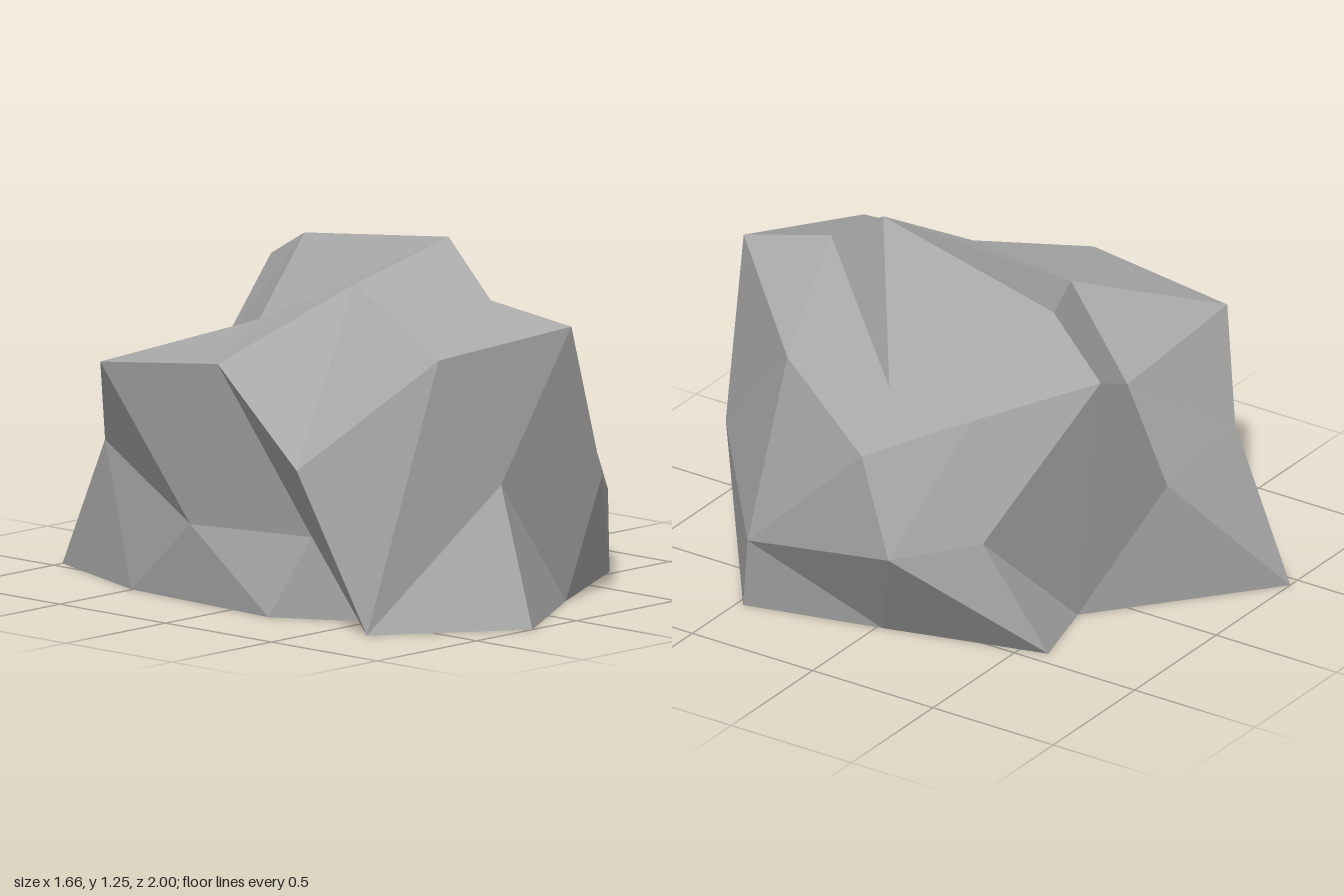
import * as THREE from 'three';

// Named corners of the rock, grouped by level
const P = {
  // ground contact
  M: [0.725, 0, 0.475], K: [0.235, 0, 0.73], I: [-0.22, 0, 1], H: [-0.69, 0, 0.66],
  H2: [-0.48, 0, 0.53], H3: [-0.68, 0, 0.185], G2: [-0.635, 0, -0.505], V: [-0.455, 0, -1],
  V2: [0.14, 0, -0.52], V3: [0.44, 0, -0.6], X: [0.6, 0, -0.02],
  // waist
  N: [0.765, 0.28, 0.43], L: [0.315, 0.44, 0.825], J: [-0.175, 0.475, 0.81], E: [-0.43, 0.94, 0.755],
  G: [-0.83, 0.57, 0.46], G3: [-0.61, 0.29, 0.325], G4: [-0.69, 0.28, -0.175], U2: [-0.56, 0.49, -0.7],
  U: [-0.07, 0.475, -0.75], T: [0.295, 1.02, -0.72], Z: [0.575, 0.43, -0.42], O: [0.83, 0.41, -0.2],
  // shoulder
  Q: [0.52, 0.885, 0.43], C: [0.05, 1.015, 0.93], B: [-0.02, 1.075, 0.615], D: [-0.22, 1.1, 0.16],
  F: [-0.77, 0.88, 0.03], F2: [-0.77, 0.815, -0.525], C2: [-0.12, 0.79, -0.55], S: [0.155, 1.15, -0.43],
  Y: [0.51, 0.855, -0.335], R: [0.795, 0.76, -0.065],
  // crown
  W: [0.485, 0.867, 0.03], A: [0.05, 1.253, 0.35], D2: [-0.38, 0.96, -0.14],
};

// Cross-section loops, each starting on the model's left and running round the front
const ring = (s) => s.split(' ');
const base = ring('M K I H H2 H3 G2 V V2 V3 X');
const waist = ring('N L J E G G3 G4 U2 U T Z O');
const shoulder = ring('Q C B D F F2 C2 S Y R');
const crown = ring('W B A D2 A');

// Flat-faced geometry collected from triangles; collapsed triangles are skipped
function facets(build) {
  const pos = [];
  build((p, q, r) => {
    if (p === q || q === r || r === p) return;
    pos.push(...P[p], ...P[q], ...P[r]);
  });
  const geo = new THREE.BufferGeometry();
  geo.setAttribute('position', new THREE.Float32BufferAttribute(pos, 3));
  geo.computeVertexNormals();
  return geo;
}

// Stitch two loops: each step moves on along the lower (l) or the upper (u) loop
function stitch(tri, lower, upper, steps) {
  let i = 0, j = 0;
  for (const s of steps) {
    const l = lower[i % lower.length], u = upper[j % upper.length];
    const next = s === 'l' ? lower[++i % lower.length] : upper[++j % upper.length];
    tri(l, u, next);
  }
}

// Close a loop with a fan round one of its corners
function cap(tri, loop, apex) {
  loop.forEach((p, i) => tri(apex, loop[(i + 1) % loop.length], p));
}

export function createModel() {
  // The shell is open underneath, so its inside shows too
  const stone = new THREE.MeshStandardMaterial({ color: 0xa8a8a8, side: THREE.DoubleSide, flatShading: true });
  stone.name = 'greyStone';

  const group = new THREE.Group();
  group.name = 'rock';
  const add = (name, build) => {
    const mesh = new THREE.Mesh(facets(build), stone);
    mesh.name = name;
    group.add(mesh);
  };

  add('lowerSides', (tri) => stitch(tri, base, waist, 'ulullu' + 'uullul' + 'ululuu' + 'lulul'));
  add('upperSides', (tri) => stitch(tri, waist, shoulder, 'lulluu' + 'lullul' + 'ulluul' + 'lulu'));
  add('top', (tri) => {
    stitch(tri, shoulder, crown, 'ullulu' + 'lllluu' + 'lll');
    cap(tri, crown, 'A');
  });
  add('foot', (tri) => tri('I', 'H', 'H2'));
  return group;
}
